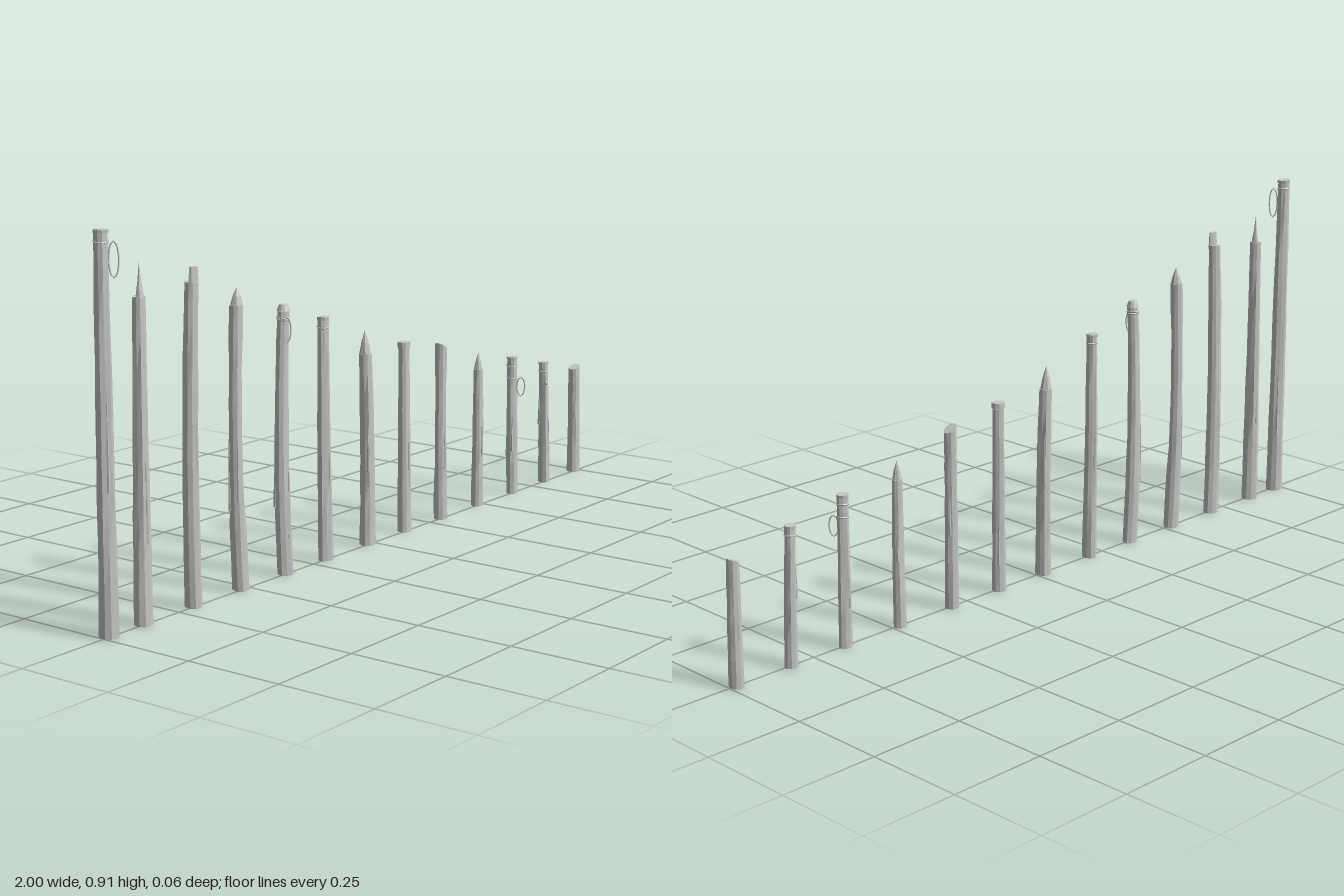
import * as THREE from 'three';

const SIDES = 10, ROWS = 9;
const wood = new THREE.MeshStandardMaterial({ color: 0xc6c6c6, flatShading: true });
wood.name = 'pale grey wood';

// x: base, middle and top of the centre line; h: height of the trunk; r: base and top radius
const POSTS = [
  { x: [-0.977, -0.972, -0.966], z: -0.013, h: 0.91, r: [0.023, 0.016], end: 'band', loop: [0.017, 0.845, 0.018, 0.04] },
  { x: [-0.866, -0.862, -0.856], z: -0.008, h: 0.75, r: [0.022, 0.015], end: 'spike', tip: [0.007, 0.08, -0.004], thin: 0.65 },
  { x: [-0.695, -0.702, -0.695], z: 0.005, h: 0.765, r: [0.021, 0.016], end: 'sliver', top: 0.8 },
  { x: [-0.525, -0.537, -0.53], z: -0.004, h: 0.69, r: [0.02, 0.016], end: 'spike', tip: [0.003, 0.045, 0], thin: 0.95 },
  { x: [-0.358, -0.371, -0.363], z: 0.002, h: 0.655, r: [0.021, 0.015], end: 'dome', loop: [-0.004, 0.61, 0.018, 0.03] },
  { x: [-0.198, -0.196, -0.191], z: -0.013, h: 0.615, r: [0.019, 0.014], end: 'band' },
  { x: [-0.022, -0.023, -0.03], z: -0.004, h: 0.5, r: [0.02, 0.016], end: 'spike', tip: [-0.002, 0.062, 0], thin: 0.95 },
  { x: [0.139, 0.143, 0.147], z: -0.012, h: 0.49, r: [0.018, 0.014], end: 'cap' },
  { x: [0.303, 0.304, 0.306], z: -0.006, h: 0.47, r: [0.019, 0.016], end: 'slant', slope: -0.6 },
  { x: [0.477, 0.479, 0.478], z: -0.003, h: 0.38, r: [0.017, 0.013], end: 'spike', tip: [0.001, 0.05, 0], thin: 0.95 },
  { x: [0.653, 0.654, 0.656], z: -0.009, h: 0.388, r: [0.017, 0.014], end: 'band', loop: [0.009, 0.305, 0.027, 0.026] },
  { x: [0.82, 0.817, 0.812], z: -0.005, h: 0.35, r: [0.017, 0.013], end: 'band', knot: true },
  { x: [0.982, 0.981, 0.98], z: -0.005, h: 0.31, r: [0.018, 0.015], end: 'slant', slope: 0.4 },
];

// Repeatable value between -1 and 1
function noise(a, b) {
  const s = Math.sin(a * 127.1 + b * 311.7) * 43758.5453;
  return (s - Math.floor(s)) * 2 - 1;
}

// Point on the bent centre line
function centre(p, t) {
  const [a, m, b] = p.x;
  const bend = 4 * t * (1 - t);
  return new THREE.Vector3(a + (b - a) * t + (m - (a + b) / 2) * bend, p.h * t, -0.003 + (p.z + 0.003) * t);
}

function add(group, name, geometry, position) {
  const mesh = new THREE.Mesh(geometry, wood);
  mesh.name = name;
  if (position) mesh.position.copy(position);
  group.add(mesh);
  return mesh;
}

// Rough trunk: a bent, tapered cylinder with uneven facets and a shallow split
function trunk(p, seed) {
  const g = new THREE.CylinderGeometry(1, 1, 1, SIDES, ROWS);
  const pos = g.attributes.position;
  for (let i = 0; i < pos.count; i++) {
    const x = pos.getX(i), z = pos.getZ(i), t = pos.getY(i) + 0.5;
    const side = Math.round((Math.atan2(x, z) / (2 * Math.PI)) * SIDES + SIDES) % SIDES;
    const row = Math.round(t * ROWS);
    const rim = Math.hypot(x, z);
    let r = THREE.MathUtils.lerp(p.r[0], p.r[1], t) * (1 + 0.05 * noise(side, seed) + 0.05 * noise(side + row * 13, seed));
    if (row > 2 && row < ROWS - 1 && (side + seed) % 5 === 0) r *= 0.86;
    const c = centre(p, t);
    const slope = row === ROWS ? (p.slope || 0) * x * p.r[1] : 0;
    pos.setXYZ(i, c.x + x * r, c.y + slope + (row === ROWS && rim > 0.5 && !p.slope ? 0.002 * noise(side, seed + 5) : 0), c.z + z * r);
  }
  g.computeVertexNormals();
  return g;
}

// Ring of cord wrapped around a post
function wrap(group, p, t, thick = 0.002) {
  const r = THREE.MathUtils.lerp(p.r[0], p.r[1], t);
  const ring = add(group, 'cordWrap', new THREE.TorusGeometry(r, thick, 5, 14), centre(p, t));
  ring.rotation.set(Math.PI / 2 + 0.12, 0.1, 0);
}

// Hanging loop of cord: x offset, height, z and loop length
function cordLoop(group, p, [dx, y, z, half]) {
  const c = centre(p, y / p.h);
  const pts = [];
  for (let i = 0; i < 10; i++) {
    const a = (i / 10) * Math.PI * 2;
    pts.push(new THREE.Vector3(c.x + dx + 0.007 * Math.sin(a), y + half * Math.cos(a), (z + c.z) / 2 + 0.006 + 0.008 * Math.sin(a)));
  }
  add(group, 'cordLoop', new THREE.TubeGeometry(new THREE.CatmullRomCurve3(pts, true), 24, 0.002, 5, true));
  wrap(group, p, Math.min(0.985, (y + half) / p.h));
}

// Splintered or sharpened point
function spike(group, p) {
  const [dx, h, dz] = p.tip;
  const r = p.r[1] * p.thin;
  const g = new THREE.CylinderGeometry(0, r, h, 7, 2);
  g.translate(0, h / 2, 0);
  const pos = g.attributes.position;
  for (let i = 0; i < pos.count; i++) {
    const t = pos.getY(i) / h;
    const bulge = t > 0.3 && t < 0.7 ? (p.thin < 0.8 ? 0.8 : 1.25) : 1;
    pos.setXYZ(i, pos.getX(i) * bulge + dx * (0.5 + 0.5 * t), pos.getY(i) - 0.002, pos.getZ(i) * bulge + dz * t);
  }
  g.computeVertexNormals();
  add(group, 'point', g, centre(p, 1));
}

function post(p, index) {
  const group = new THREE.Group();
  group.name = 'post' + (index + 1);
  add(group, 'trunk', trunk(p, index + 1));
  const top = centre(p, 1), r = p.r[1];

  if (p.end === 'spike') spike(group, p);
  if (p.end === 'band') {
    add(group, 'topBand', new THREE.CylinderGeometry(r * 1.1, r * 1.05, 0.008, SIDES), top.clone().setY(p.h - 0.004));
    wrap(group, p, 1 - 0.025 / p.h);
  }
  if (p.end === 'cap') {
    add(group, 'cap', new THREE.CylinderGeometry(r * 1.2, r * 1.25, 0.013, SIDES), top.clone().setY(p.h + 0.007));
  }
  if (p.end === 'dome') {
    add(group, 'dome', new THREE.CylinderGeometry(r * 0.7, r * 1.1, 0.016, SIDES), top.clone().setY(p.h + 0.007));
    wrap(group, p, 0.97);
  }
  if (p.end === 'sliver') {
    // Half of the trunk left standing above the break
    const g = new THREE.CylinderGeometry(r * 0.85, r, p.top - p.h + 0.01, 7);
    g.scale(1, 1, 0.45);
    add(group, 'sliver', g, top.clone().add(new THREE.Vector3(0, (p.top - p.h) / 2 - 0.005, r * 0.4)));
  }
  if (p.loop) cordLoop(group, p, p.loop);
  if (p.knot) {
    const c = centre(p, 0.83);
    add(group, 'knot', new THREE.IcosahedronGeometry(0.006, 0), c.add(new THREE.Vector3(-0.004, 0, 0.012)));
  }

  // Raised strips of bark on both sides
  for (const s of [0, 1]) {
    const t = 0.45 + 0.2 * noise(index, s + 3), a = s * Math.PI + noise(index, s + 9);
    const c = centre(p, t), rad = THREE.MathUtils.lerp(p.r[0], p.r[1], t) * 0.93;
    const bark = add(group, 'barkStrip', new THREE.CylinderGeometry(0.001, 0.004, p.h * 0.25, 5),
      c.add(new THREE.Vector3(Math.sin(a) * rad, 0, Math.cos(a) * rad)));
    bark.rotation.y = a;
  }
  return group;
}

export function createModel() {
  const model = new THREE.Group();
  model.name = 'fencePosts';
  POSTS.forEach((p, i) => model.add(post(p, i)));
  return model;
}
